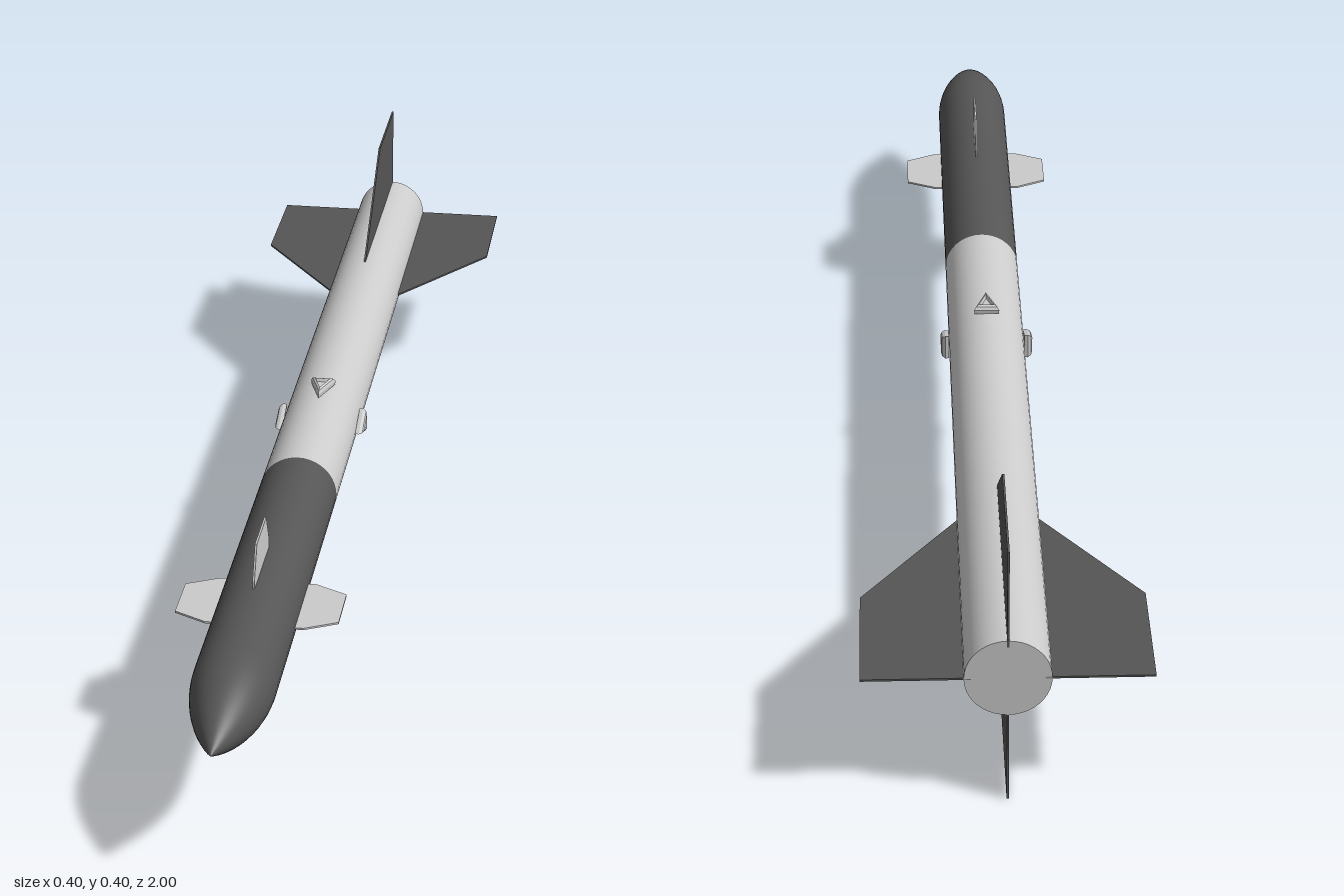
import * as THREE from 'three';

const light = new THREE.MeshStandardMaterial({ color: 0xcccccc });
const lightFlat = new THREE.MeshStandardMaterial({ color: 0xcccccc, flatShading: true });
const dark = new THREE.MeshStandardMaterial({ color: 0x555555 });
const R = 0.06;

// Solid of revolution around z, from [radius, z] pairs
function turned(points) {
  return new THREE.LatheGeometry(points.map(([r, z]) => new THREE.Vector2(r, z)), 40).rotateX(Math.PI / 2);
}

// Thin upright plate from [z, radius] corners
function plate(corners, thickness) {
  const shape = new THREE.Shape(corners.map(([z, r]) => new THREE.Vector2(z, r)));
  return new THREE.ExtrudeGeometry(shape, { depth: thickness, bevelEnabled: false })
    .translate(0, 0, -thickness / 2)
    .rotateY(-Math.PI / 2);
}

export function createModel() {
  const model = new THREE.Group();
  model.name = 'missile';

  const add = (name, geometry, material, turn = 0) => {
    const mesh = new THREE.Mesh(geometry, material);
    mesh.name = name;
    mesh.position.y = 0.2;
    mesh.rotation.z = turn;
    model.add(mesh);
  };

  // Rear tube with closed tail
  add('body', new THREE.CylinderGeometry(R, R, 1.2, 40).rotateX(Math.PI / 2).translate(0, 0, -0.4), light);

  // Dark forward section running into a pointed ogive
  const ogive = [[R, 0.2]];
  for (let i = 0; i <= 12; i++) {
    const t = i / 12;
    ogive.push([R * (1 - t * t), 0.8 + 0.2 * t]);
  }
  add('noseSection', turned(ogive), dark);

  const tailFin = plate([[-1, 0.05], [-0.6, 0.05], [-0.6, R], [-0.8, 0.2], [-1, 0.2]], 0.003);
  const canard = plate([[0.5, 0.05], [0.635, 0.05], [0.635, 0.092], [0.61, 0.12], [0.525, 0.12], [0.5, 0.092]]
    .map(([z, r]) => [z, r === 0.092 ? 0.072 : r]), 0.003);

  // Three-sided raised lug with a sunken middle, tip forward
  const lug = new THREE.LatheGeometry(
    [[0, 0], [0.97, 0], [1, 0.006], [0.85, 0.011], [0.6, 0.013], [0.45, 0.008], [0, 0.008]]
      .map(([r, y]) => new THREE.Vector2(r, y)), 3)
    .scale(0.0231, 1, 0.0387)
    .translate(0, R, -0.0587);

  // Four of each around the body
  ['top', 'right', 'bottom', 'left'].forEach((side, i) => {
    const turn = i * Math.PI / 2;
    add(side + 'TailFin', tailFin, dark, turn);
    add(side + 'Canard', canard, light, turn);
    add(side + 'Lug', lug, lightFlat, turn);
  });

  return model;
}
